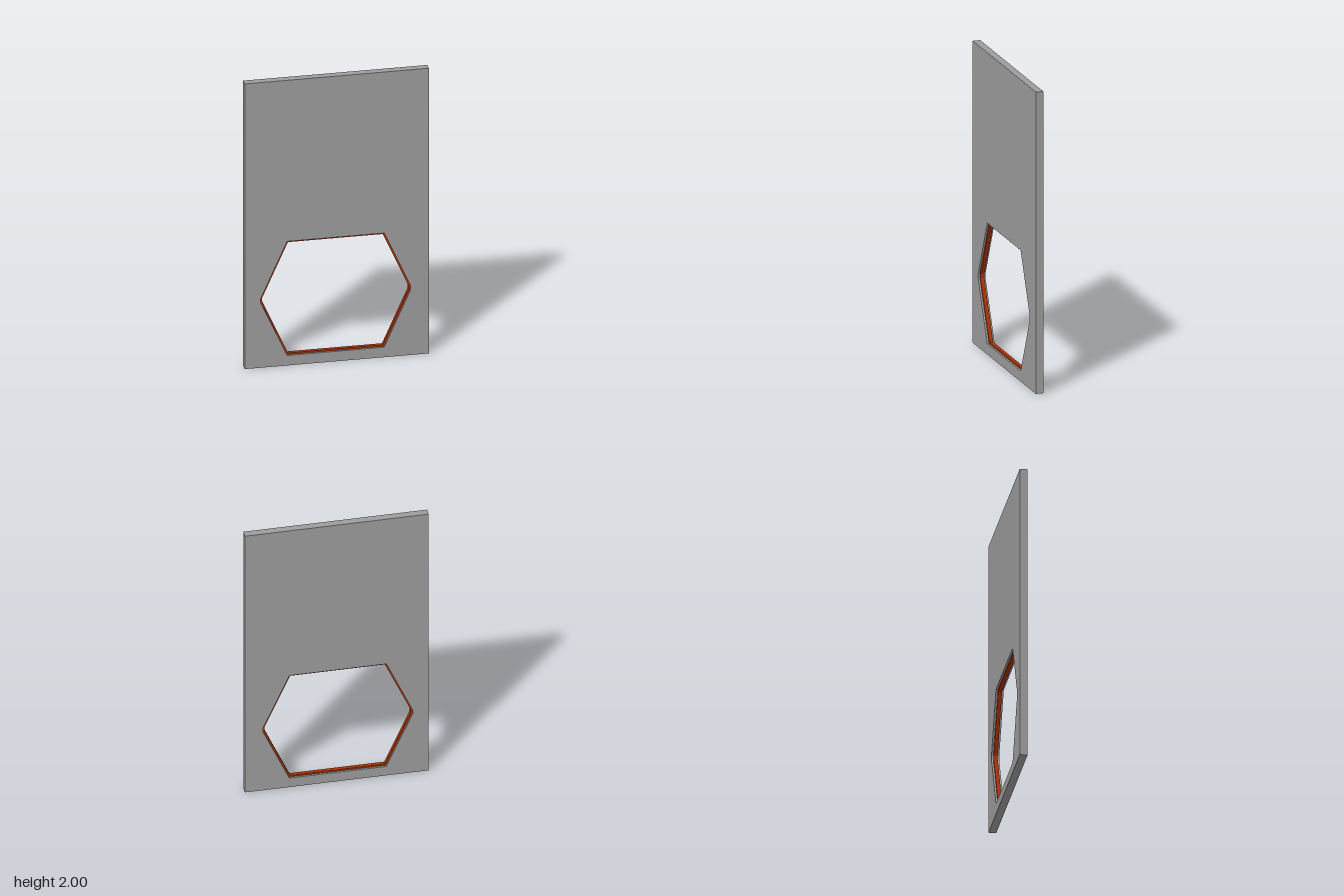
import * as THREE from 'three';

const CX = -0.007, CY = 0.47; // centre of the opening

// Hexagon with slightly blunted side corners; inset shrinks it evenly
function hexagon(PathType, inset) {
  const top = 0.4 - inset, flat = 0.314 - inset * 0.66, tip = 0.485 - inset * 1.1, blunt = 0.014;
  const path = new PathType();
  const points = [
    [flat, top], [-flat, top], [-tip, blunt], [-tip, -blunt],
    [-flat, -top], [flat, -top], [tip, -blunt], [tip, blunt],
  ];
  path.setFromPoints(points.map(([x, y]) => new THREE.Vector2(CX + x, CY + y)));
  path.closePath();
  return path;
}

// Flat plate centred on z = 0
function plate(name, shape, depth, color) {
  const geometry = new THREE.ExtrudeGeometry(shape, { depth, bevelEnabled: false });
  geometry.translate(0, 0, -depth / 2);
  const mesh = new THREE.Mesh(geometry, new THREE.MeshStandardMaterial({ color }));
  mesh.name = name;
  return mesh;
}

export function createModel() {
  const group = new THREE.Group();
  group.name = 'doorPanel';

  // Upright panel with a hexagonal opening
  const outline = new THREE.Shape([
    new THREE.Vector2(-0.595, 0), new THREE.Vector2(0.595, 0),
    new THREE.Vector2(0.595, 2), new THREE.Vector2(-0.595, 2),
  ]);
  outline.holes.push(hexagon(THREE.Path, 0));
  group.add(plate('panel', outline, 0.05, 0x9c9c9c));

  // Thin coloured rim recessed inside the opening
  const rim = hexagon(THREE.Shape, 0);
  rim.holes.push(hexagon(THREE.Path, 0.011));
  group.add(plate('openingRim', rim, 0.026, 0xa83208));

  return group;
}
